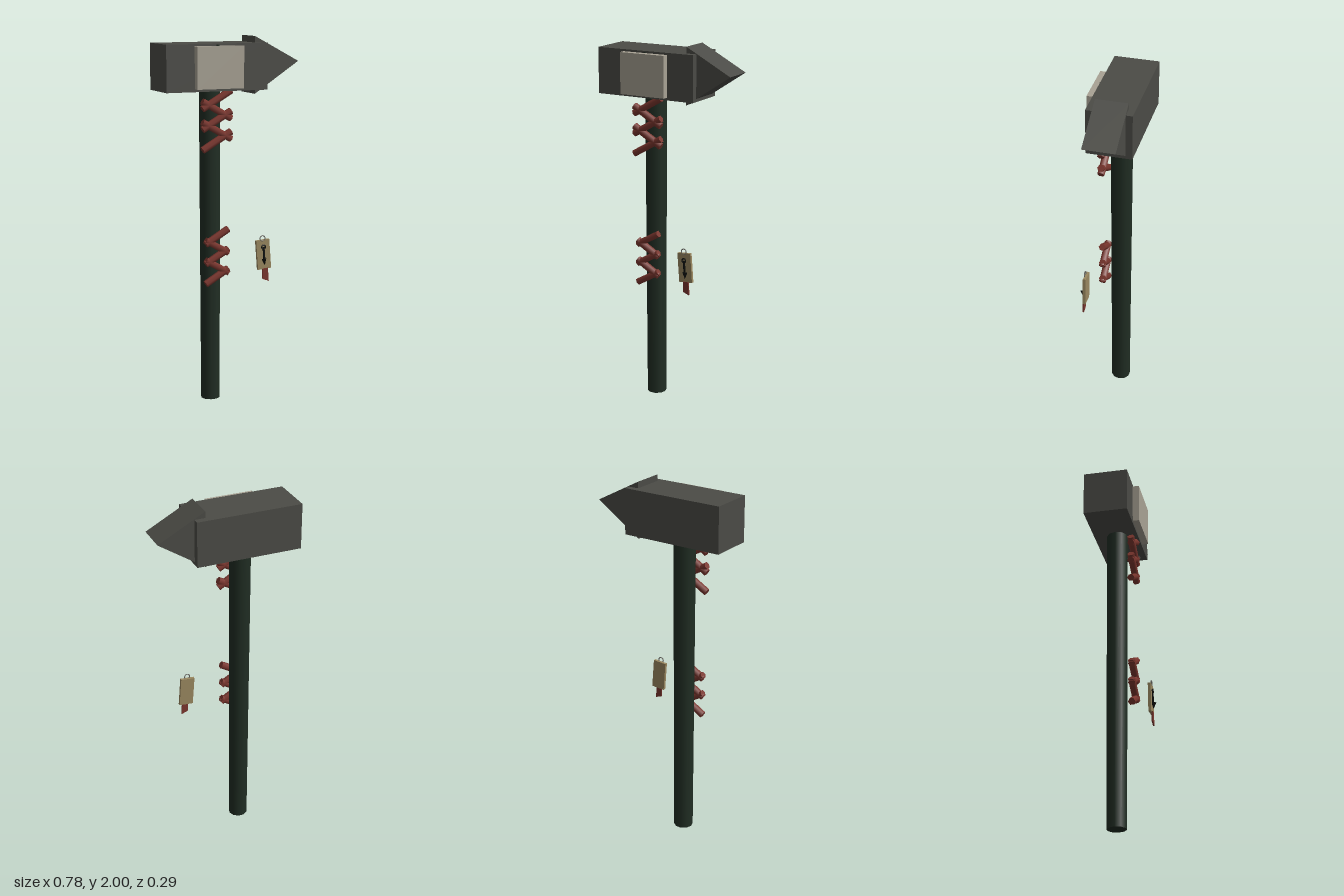
import * as THREE from 'three';

const mat = (name, color, extra = {}) => {
  const m = new THREE.MeshStandardMaterial({ color, ...extra });
  m.name = name;
  return m;
};

export function createModel() {
  const iron = mat('dark iron', 0x4b4b46);
  const stone = mat('pale plate', 0xa8a294);
  const wood = mat('dark green wood', 0x202d23);
  const cord = mat('red cord', 0x7b362e);
  const tan = mat('tan tag', 0x9a8860);
  const black = mat('black ink', 0x0c0f0c);
  const grey = mat('grey wire', 0x70706a);

  const model = new THREE.Group();
  model.name = 'hammer';
  const add = (parent, name, geo, m, x = 0, y = 0, z = 0) => {
    const mesh = new THREE.Mesh(geo, m);
    mesh.name = name;
    mesh.position.set(x, y, z);
    parent.add(mesh);
    return mesh;
  };
  // flat polygon in xy, extruded along z from z0 to z1
  const prism = (pts, z0, z1) =>
    new THREE.ExtrudeGeometry(new THREE.Shape(pts.map(p => new THREE.Vector2(...p))),
      { depth: z1 - z0, bevelEnabled: false }).translate(0, 0, z0);

  // Head: block, wedge-shaped peen and face plate
  add(model, 'headBlock', new THREE.BoxGeometry(0.58, 0.25, 0.243), iron, -0.1, 1.84, -0.027);
  add(model, 'headWedge', prism([[0.13, 1.692], [0.388, 1.862], [0.13, 2]], -0.113, 0.06), iron);
  add(model, 'facePlate', new THREE.BoxGeometry(0.267, 0.224, 0.05), stone, -0.098, 1.842, 0.105);
  add(model, 'platePin', new THREE.CylinderGeometry(0.01, 0.01, 0.1, 8), wood, -0.1, 1.91, 0.09);

  // Handle, slightly thicker towards the head
  add(model, 'handle', new THREE.CylinderGeometry(0.059, 0.053, 1.76, 10).rotateY(Math.PI / 2),
    wood, -0.1, 0.88, -0.021);

  // Zigzag cord wraps: three rising bars joined by two falling bars
  const wrap = (name, y0, length) => {
    const group = new THREE.Group();
    group.name = name;
    for (let i = 0; i < 5; i++) {
      const bar = add(group, 'cordBar', new THREE.CylinderGeometry(0.02, 0.02, length, 6),
        cord, -0.098, y0 + i * 0.055, 0.072);
      bar.rotation.z = (i % 2 ? 1 : -1) * Math.PI / 3;
    }
    model.add(group);
  };
  wrap('lowerWrap', 0.71, 0.152);
  wrap('upperWrap', 1.45, 0.19);

  // Hanging tag, tilted a little
  const tag = new THREE.Group();
  tag.name = 'tag';
  tag.position.set(0.159, 0.819, 0.113);
  tag.rotation.z = 0.075;
  model.add(tag);
  add(tag, 'tagBoard', new THREE.BoxGeometry(0.079, 0.163, 0.016), tan);
  add(tag, 'tagLoop', new THREE.TorusGeometry(0.015, 0.003, 6, 16), grey, 0, 0.09, 0.006);
  add(tag, 'tagRibbon', prism([[-0.014, -0.078], [-0.018, -0.135], [0.018, -0.152], [0.018, -0.078]],
    0.005, 0.013), cord);

  // Arrow mark with a ring at its tail
  add(tag, 'arrowRing', new THREE.TorusGeometry(0.011, 0.004, 6, 14), black, 0, 0.042, 0.012);
  add(tag, 'arrowShaft', new THREE.BoxGeometry(0.009, 0.075, 0.008), black, 0, 0.003, 0.012);
  add(tag, 'arrowHead', new THREE.ConeGeometry(0.018, 0.036, 3).rotateX(Math.PI), black, 0, -0.042, 0.014)
    .rotation.y = Math.PI;

  return model;
}
